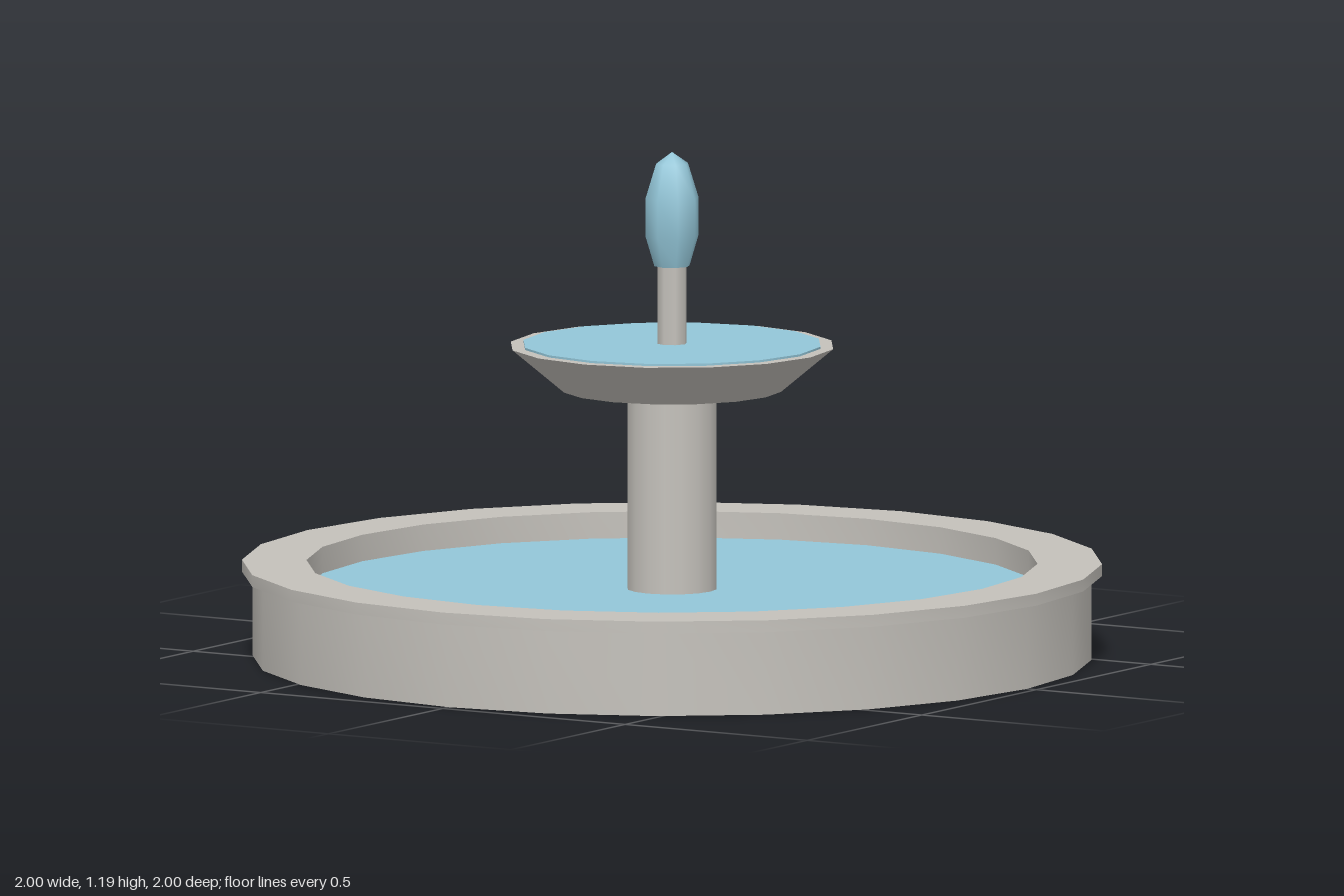
import * as THREE from 'three';
import { toCreasedNormals } from 'three/addons/utils/BufferGeometryUtils.js';

const stone = new THREE.MeshStandardMaterial({ color: 0xc4c1bb });
const water = new THREE.MeshStandardMaterial({ color: 0x93c6d8 });

export function createModel() {
  const fountain = new THREE.Group();
  fountain.name = 'fountain';

  const add = (name, geometry, material, y = 0) => {
    const mesh = new THREE.Mesh(geometry, material);
    mesh.name = name;
    mesh.position.y = y;
    fountain.add(mesh);
  };

  // Turned part: smooth around, sharp at the profile corners
  const turned = (profile, sides, crease = 0.5) => toCreasedNormals(
    new THREE.LatheGeometry(profile.map(([r, y]) => new THREE.Vector2(r, y)), sides), crease);

  // Upright drum standing between two heights
  const drum = (name, material, rTop, rBottom, y0, y1, sides) =>
    add(name, new THREE.CylinderGeometry(rTop, rBottom, y1 - y0, sides), material, (y0 + y1) / 2);

  // Basin: closed floor, outer wall, overhanging rim and inner wall
  add('basin', turned([
    [0, 0], [0.975, 0], [0.975, 0.197], [1, 0.197], [1, 0.225],
    [0.85, 0.225], [0.85, 0.1], [0, 0.1],
  ], 24), stone);
  drum('basinWater', water, 0.85, 0.85, 0.12, 0.163, 24);

  // Central column and upper bowl
  drum('column', stone, 0.105, 0.105, 0.1, 0.64, 16);
  drum('upperBowl', stone, 0.38, 0.257, 0.63, 0.733, 16);
  drum('bowlWater', water, 0.35, 0.35, 0.725, 0.738, 16);

  // Spout with its plume of water
  drum('spout', stone, 0.035, 0.035, 0.73, 0.93, 8);
  add('waterPlume', turned([
    [0, 0.92], [0.042, 0.92], [0.063, 0.99], [0.063, 1.08], [0.038, 1.16], [0, 1.187],
  ], 8, 0.9), water);

  return fountain;
}
